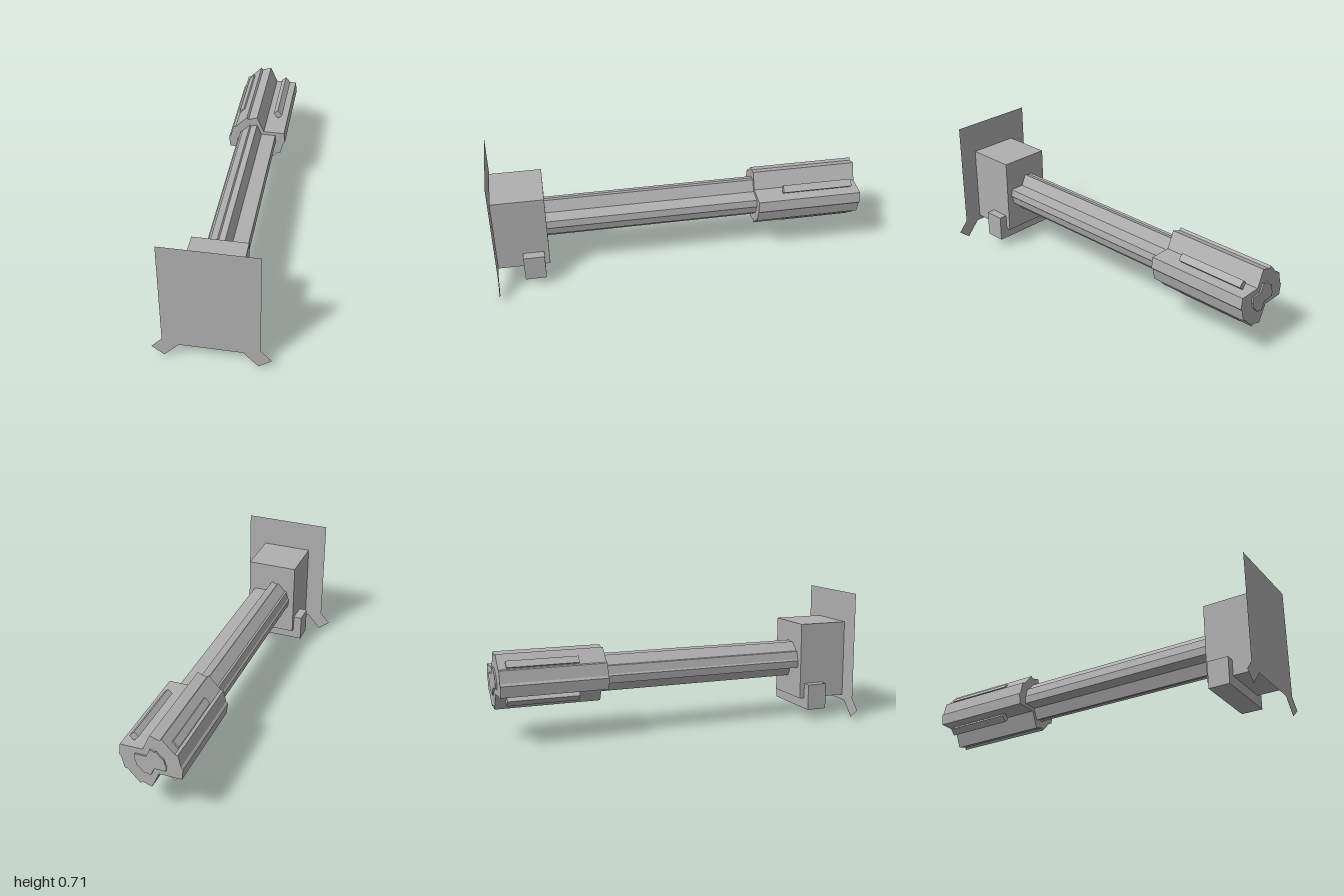
import * as THREE from 'three';

const AXIS_Y = 0.328;

// Ratchet-shaped cross-section: half the outline, repeated by a half turn
function ratchetShape(scale) {
  const half = [
    [0, 0.152], [0.04, 0.062], [0.158, 0.06], [0.165, 0], [0.155, -0.012],
    [0.14, -0.075], [0.125, -0.078], [0.06, -0.147], [0.05, -0.135],
  ];
  const points = [1, -1].flatMap((s) =>
    half.map(([x, y]) => new THREE.Vector2(s * x * scale, s * y * scale)));
  return new THREE.Shape(points);
}

export function createModel() {
  const model = new THREE.Group();
  model.name = 'flutedTool';
  const grey = new THREE.MeshStandardMaterial({ color: 0xb0b0b0, side: THREE.DoubleSide });
  grey.name = 'grey';

  function add(name, geometry, parent = model) {
    const mesh = new THREE.Mesh(geometry, grey);
    mesh.name = name;
    parent.add(mesh);
    return mesh;
  }

  function block(name, x0, x1, y0, y1, z0, z1, parent) {
    const mesh = add(name, new THREE.BoxGeometry(x1 - x0, y1 - y0, z1 - z0), parent);
    mesh.position.set((x0 + x1) / 2, (y0 + y1) / 2, (z0 + z1) / 2);
    return mesh;
  }

  function fluted(name, scale, z0, z1) {
    const geometry = new THREE.ExtrudeGeometry(ratchetShape(scale), { depth: z1 - z0, bevelEnabled: false });
    add(name, geometry).position.set(0, AXIS_Y, z0);
  }

  // Flat front plate with two splayed feet
  const right = [[0.243, 0.71], [0.243, 0.112], [0.298, 0.052], [0.234, 0.002], [0.158, 0.085]];
  const left = right.map(([x, y]) => [-x, y]).reverse();
  const outline = [...right, ...left].map(([x, y]) => new THREE.Vector2(x, y));
  add('frontPlate', new THREE.ShapeGeometry(new THREE.Shape(outline))).position.z = 1;

  // Housing behind the plate
  block('housing', -0.141, 0.141, 0.115, 0.54, 0.718, 0.997);

  // U-shaped bracket cradling the housing
  const bracket = new THREE.Group();
  bracket.name = 'bracket';
  model.add(bracket);
  block('bracketBase', -0.187, 0.187, 0.056, 0.114, 0.745, 0.858, bracket);
  for (const s of [-1, 1]) {
    const inner = s * 0.141, outer = s * 0.187;
    block('bracketArm', Math.min(inner, outer), Math.max(inner, outer), 0.114, 0.2, 0.745, 0.858, bracket);
  }

  // Shaft, thick head and small end cap share one cross-section
  fluted('shaft', 0.68, -0.43, 0.72);
  fluted('head', 1, -0.992, -0.425);
  fluted('endCap', 0.5, -1, -0.99);

  // Long ribs set around the head
  for (const angle of [42, 138, 222, 318]) {
    const a = THREE.MathUtils.degToRad(angle);
    const rib = block('headRib', -0.016, 0.016, -0.02, 0.02, -0.95, -0.57);
    rib.position.x = Math.cos(a) * 0.137;
    rib.position.y = AXIS_Y + Math.sin(a) * 0.137;
    rib.rotation.z = a;
  }
  return model;
}
